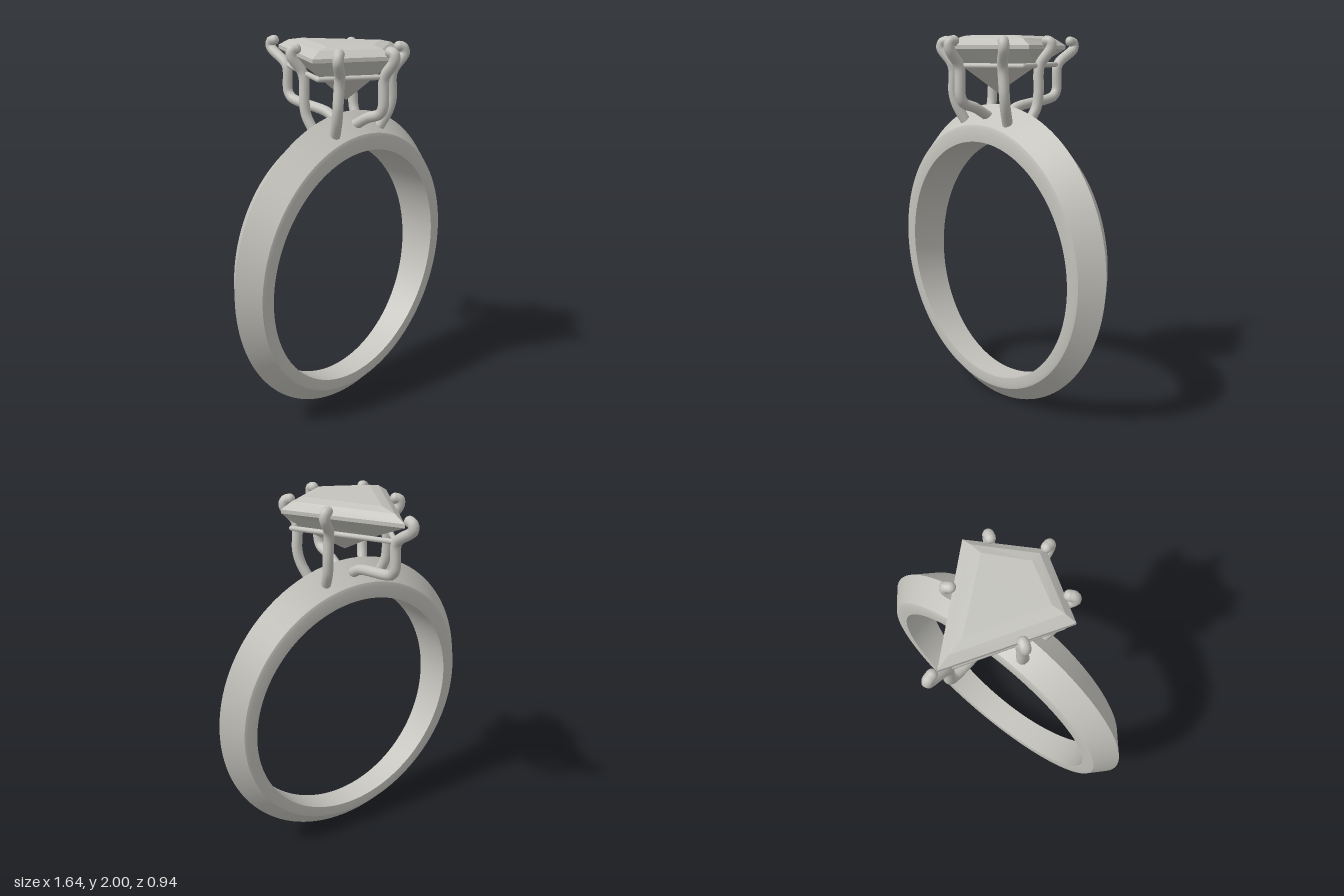
import * as THREE from 'three';
import { toCreasedNormals } from 'three/addons/utils/BufferGeometryUtils.js';

const metal = new THREE.MeshStandardMaterial({ color: 0xc4c3bd });
metal.name = 'pale silver';

// Joins successive closed rings of points into a skin; wrap joins the last ring to the first
function loft(rings, wrap) {
  const n = rings[0].length, m = rings.length, index = [];
  for (let i = 0; i < (wrap ? m : m - 1); i++) {
    for (let j = 0; j < n; j++) {
      const a = i * n + j, b = i * n + (j + 1) % n;
      const k = ((i + 1) % m) * n;
      const c = k + j, d = k + (j + 1) % n;
      index.push(a, b, c, b, d, c);
    }
  }
  const g = new THREE.BufferGeometry();
  g.setAttribute('position', new THREE.Float32BufferAttribute(rings.flat(2), 3));
  g.setIndex(index);
  return g;
}

function add(parent, name, geometry) {
  const mesh = new THREE.Mesh(geometry, metal);
  mesh.name = name;
  parent.add(mesh);
  return mesh;
}

// Knife-edged band, wider and thicker towards the top
function bandGeometry() {
  // radius, centre height, share of the half width
  const profile = [
    [0.655, 0.79, -0.97], [0.655, 0.79, 0.97], [0.712, 0.803, 1], [0.73, 0.805, 0.95],
    [0.82, 0.82, 0], [0.73, 0.805, -0.95], [0.712, 0.803, -1],
  ];
  const rings = [], steps = 128;
  for (let i = 0; i < steps; i++) {
    const t = (i / steps) * Math.PI * 2, half = 0.109 + 0.031 * Math.sin(t);
    rings.push(profile.map(([r, cy, k]) => [r * Math.cos(t), cy + r * Math.sin(t), 0.12 + k * half]));
  }
  return toCreasedNormals(loft(rings, true), 0.45);
}

// Kite-cut stone: each level is height, back z, corner x, corner z, front z
function stoneGeometry() {
  const levels = [
    [2.0, 0.1, 0, 0.1, 0.1],
    [2.0, -0.2, 0.21, 0.18, 0.3],
    [1.985, -0.3, 0.28, 0.19, 0.36],
    [1.95, -0.38, 0.34, 0.2, 0.41],
    [1.93, -0.38, 0.34, 0.2, 0.41],
    [1.83, -0.14, 0.22, 0.175, 0.3],
    [1.7, 0.12, 0, 0.12, 0.12],
  ];
  const rings = levels.map(([y, back, x, z, front]) => [[0, y, back], [x, y, z], [0, y, front], [-x, y, z]]);
  const g = loft(rings, false).toNonIndexed();
  g.computeVertexNormals();
  return g;
}

// Round wire with domed ends
function addProng(parent, name, points, mirror = 1) {
  const r = 0.028;
  const path = points.map(([x, y, z]) => new THREE.Vector3(x * mirror, y, z));
  const curve = new THREE.CatmullRomCurve3(path, false, 'centripetal');
  const group = new THREE.Group();
  group.name = name;
  add(group, 'wire', new THREE.TubeGeometry(curve, 60, r, 12));
  for (const end of [path[0], path[path.length - 1]]) {
    add(group, 'wireEnd', new THREE.SphereGeometry(r, 12, 8)).position.copy(end);
  }
  parent.add(group);
}

export function createModel() {
  const ring = new THREE.Group();
  ring.name = 'ring';
  add(ring, 'band', bandGeometry());
  add(ring, 'stone', stoneGeometry());

  // Prongs at the two points of the kite
  addProng(ring, 'frontProng', [
    [0, 1.972, 0.41], [0, 1.965, 0.435], [0, 1.93, 0.437], [0, 1.86, 0.385], [0, 1.83, 0.373],
    [0, 1.69, 0.37], [0, 1.655, 0.35], [0, 1.625, 0.27], [0, 1.58, 0.19],
  ]);
  addProng(ring, 'backProng', [
    [0, 1.972, -0.415], [0, 1.965, -0.44], [0, 1.935, -0.445], [0, 1.86, -0.335], [0, 1.83, -0.315],
    [0, 1.7, -0.31], [0, 1.668, -0.285], [0, 1.655, -0.25], [0, 1.62, -0.02], [0, 1.59, 0.04],
  ]);

  // Mirrored prongs along the sides
  for (const s of [1, -1]) {
    const side = s > 0 ? 'left' : 'right';
    addProng(ring, side + 'FrontProng', [
      [0.235, 1.972, 0.28], [0.255, 1.965, 0.293], [0.262, 1.935, 0.297], [0.215, 1.86, 0.268],
      [0.208, 1.82, 0.258], [0.215, 1.7, 0.255], [0.205, 1.63, 0.24], [0.18, 1.55, 0.205],
    ], s);
    addProng(ring, side + 'BackProng', [
      [0.215, 1.972, -0.035], [0.235, 1.965, -0.045], [0.238, 1.935, -0.045], [0.195, 1.86, -0.015],
      [0.188, 1.82, -0.005], [0.192, 1.7, 0], [0.188, 1.63, 0.01], [0.175, 1.55, 0.05],
    ], s);
  }

  // Thin kite-shaped rail below the stone
  const corners = [[0, -0.31], [0.285, 0.19], [0, 0.37], [-0.285, 0.19]]
    .map(([x, z]) => new THREE.Vector3(x, 1.845, z));
  const rail = new THREE.Group();
  rail.name = 'rail';
  corners.forEach((p, i) => {
    const line = new THREE.LineCurve3(p, corners[(i + 1) % 4]);
    add(rail, 'railSide', new THREE.TubeGeometry(line, 1, 0.014, 10));
    add(rail, 'railCorner', new THREE.SphereGeometry(0.014, 10, 8)).position.copy(p);
  });
  ring.add(rail);
  return ring;
}
